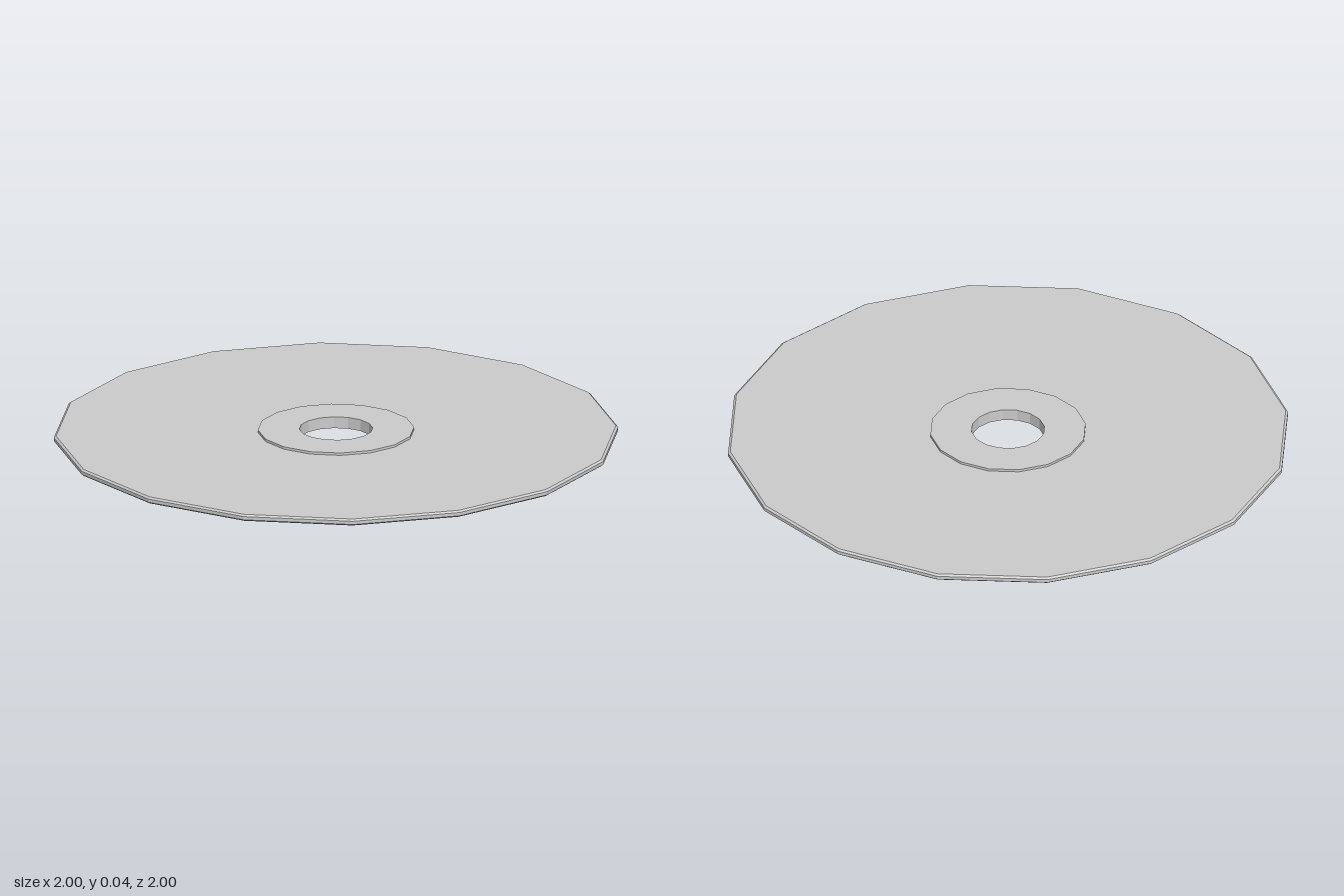
import * as THREE from 'three';

const SIDES = 16;
const MID = 0.021; // height of the mid-plane

// Faceted ring swept from a [radius, height above mid-plane] profile, outer side upward
function ring(name, profile) {
  const points = profile.map(([r, y]) => new THREE.Vector2(r, MID + y));
  const material = new THREE.MeshStandardMaterial({ color: 0xcccccc, flatShading: true });
  const mesh = new THREE.Mesh(new THREE.LatheGeometry(points, SIDES), material);
  mesh.name = name;
  return mesh;
}

export function createModel() {
  const group = new THREE.Group();
  group.name = 'disc';

  const hole = 0.13, hub = 0.277, rim = 1;
  const hubHalf = 0.021, plateHalf = 0.012, edgeHalf = 0.006;

  // Thin plate with a chamfered rim, meeting the hub at its inner edge
  group.add(ring('plate', [
    [hub, -plateHalf], [rim - 0.008, -plateHalf], [rim, -edgeHalf],
    [rim, edgeHalf], [rim - 0.008, plateHalf], [hub, plateHalf],
  ]));

  // Raised hub on both faces: lower step, upper step and bore wall
  group.add(ring('lowerHub', [[hole, -hubHalf], [hub, -hubHalf], [hub, -plateHalf]]));
  group.add(ring('upperHub', [[hub, plateHalf], [hub, hubHalf], [hole, hubHalf]]));
  group.add(ring('bore', [[hole, hubHalf], [hole, -hubHalf]]));

  return group;
}
